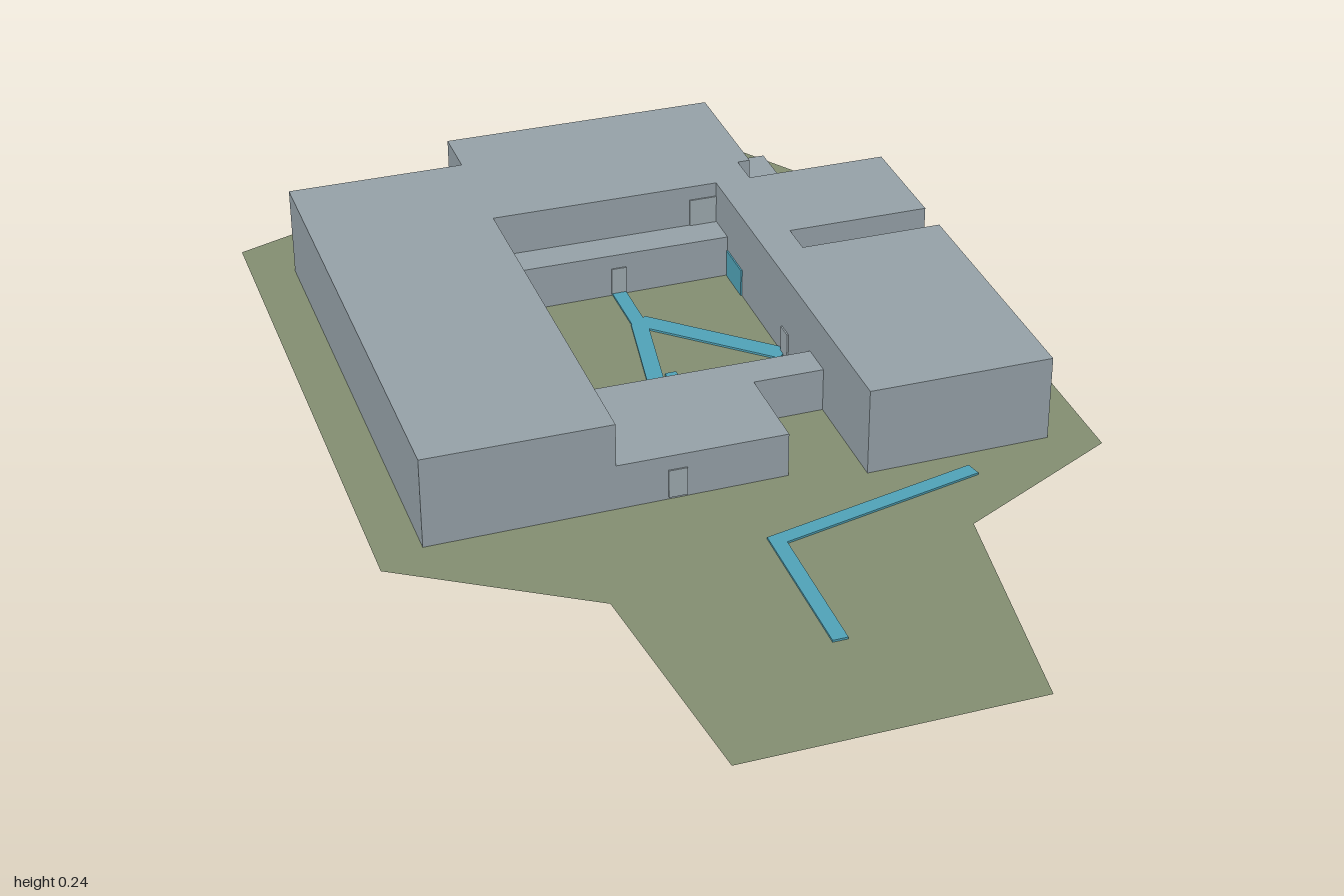
import * as THREE from 'three';

const wall = new THREE.MeshStandardMaterial({ color: 0x96a2a9 });
const grass = new THREE.MeshStandardMaterial({ color: 0x848f72, side: THREE.DoubleSide });
const water = new THREE.MeshStandardMaterial({ color: 0x50a3b8 });
const doorPaint = new THREE.MeshStandardMaterial({ color: 0x9eaab0 });
wall.name = 'wall grey';
grass.name = 'lawn green';
water.name = 'path teal';
doorPaint.name = 'door grey';

// Plans are lists of [x, z]
const BASE = 0.06, LOW = 0.155, HIGH = 0.24;
const site = [[-0.275, 1], [0.27, 1], [0.34, 0.515], [0.66, 0.355], [0.66, -0.57],
  [0.39, -1], [-0.28, -1], [-0.665, -0.865], [-0.665, 0.31], [-0.325, 0.53]];
const lowerPlan = [[-0.58, 0.265], [0.09, 0.265], [0.09, 0.08], [0.225, 0.08], [0.225, 0.305],
  [0.575, 0.305], [0.575, -0.52], [0.41, -0.52], [0.41, -0.755], [0.32, -0.755],
  [0.32, -0.865], [-0.23, -0.865], [-0.23, -0.755], [-0.58, -0.755]];
const courtyardPlan = [[-0.23, 0.01], [0.225, 0.01], [0.225, -0.45], [-0.23, -0.45]];
const upperPlan = [[-0.58, 0.265], [-0.23, 0.265], [-0.23, -0.52], [0.225, -0.52], [0.225, 0.305],
  [0.575, 0.305], [0.575, -0.22], [0.295, -0.22], [0.295, -0.29], [0.575, -0.29],
  [0.575, -0.52], [0.295, -0.52], [0.295, -0.59], [0.32, -0.59], [0.32, -0.865],
  [-0.23, -0.865], [-0.23, -0.755], [-0.58, -0.755]];

const points = plan => plan.map(([x, z]) => new THREE.Vector2(x, -z));

function planShape(plan, hole) {
  const shape = new THREE.Shape(points(plan));
  if (hole) shape.holes.push(new THREE.Path(points(hole)));
  return shape;
}

function slab(plan, hole, bottom, top) {
  const geo = new THREE.ExtrudeGeometry(planShape(plan, hole), { depth: top - bottom, bevelEnabled: false });
  return geo.rotateX(-Math.PI / 2).translate(0, bottom, 0);
}

// The site rises gently towards +x
function tilt(geo) {
  const p = geo.attributes.position;
  for (let i = 0; i < p.count; i++) p.setY(i, p.getY(i) + 0.067 + 0.01 * p.getX(i));
  geo.computeVertexNormals();
  return geo;
}

function lawn(plan, hole) {
  return tilt(new THREE.ShapeGeometry(planShape(plan, hole)).rotateX(-Math.PI / 2));
}

// Straight strip of path between two plan points
function strip([ax, az], [bx, bz], width) {
  const len = Math.hypot(bx - ax, bz - az);
  const nx = -(bz - az) / len * width / 2, nz = (bx - ax) / len * width / 2;
  return tilt(slab([[ax + nx, az + nz], [bx + nx, bz + nz], [bx - nx, bz - nz], [ax - nx, az - nz]],
    null, 0.001, 0.005));
}

export function createModel() {
  const model = new THREE.Group();
  model.name = 'courtyardBuilding';
  const add = (name, geo, mat) => {
    const mesh = new THREE.Mesh(geo, mat);
    mesh.name = name;
    model.add(mesh);
    return mesh;
  };

  // Lawns around and inside the building
  add('lawn', lawn(site, lowerPlan), grass);
  add('courtyardLawn', lawn(courtyardPlan), grass);

  // Basement and the two storeys
  add('basement', new THREE.BoxGeometry(0.28, BASE, 0.71).translate(-0.44, BASE / 2, -0.09), wall);
  add('lowerStorey', slab(lowerPlan, courtyardPlan, BASE - 0.002, LOW), wall);
  add('upperStorey', slab(upperPlan, null, LOW, HIGH), wall);

  // Paths
  const paths = [
    ['frontPath', [0, 0.755], [0, 0.44], 0.028],
    ['frontPathBranch', [-0.01, 0.455], [0.405, 0.362], 0.03],
    ['courtyardPath', [0, -0.45], [0, -0.31], 0.028],
    ['courtyardPathEast', [0.005, -0.33], [0.224, -0.125], 0.04],
    ['courtyardPathWest', [0, -0.32], [-0.055, 0.008], 0.032],
    ['courtyardPathSouth', [0, -0.13], [0, 0.008], 0.022],
  ];
  for (const [name, a, b, width] of paths) add(name, strip(a, b, width), water);

  // Doors as thin plates: name, x, z, bottom, width, turn, material
  const quarter = Math.PI / 2;
  const doors = [
    ['frontDoor', -0.117, 0.265, 0.07, 0.035, 0, doorPaint],
    ['courtyardNorthDoor', 0, -0.45, 0.07, 0.03, 0, doorPaint],
    ['courtyardSouthDoor', 0, 0.01, 0.07, 0.03, 0, doorPaint],
    ['courtyardSouthWestDoor', -0.06, 0.01, 0.07, 0.03, 0, doorPaint],
    ['courtyardEastDoor', 0.225, -0.12, 0.07, 0.035, quarter, doorPaint],
    ['courtyardEastGlass', 0.225, -0.405, 0.07, 0.085, quarter, water],
    ['courtyardWestGlass', -0.23, -0.42, 0.07, 0.035, quarter, water],
    ['roofDoor', 0.197, -0.52, LOW, 0.055, 0, doorPaint],
    ['sideDoor', 0.575, 0.245, 0.075, 0.04, quarter, grass],
    ['sideGlassDoor', 0.575, 0.2, 0.075, 0.035, quarter, water],
  ];
  for (const [name, x, z, bottom, width, turn, mat] of doors) {
    const door = add(name, new THREE.BoxGeometry(width, 0.056, 0.006), mat);
    door.position.set(x, bottom + 0.028, z);
    door.rotation.y = turn;
  }
  return model;
}
